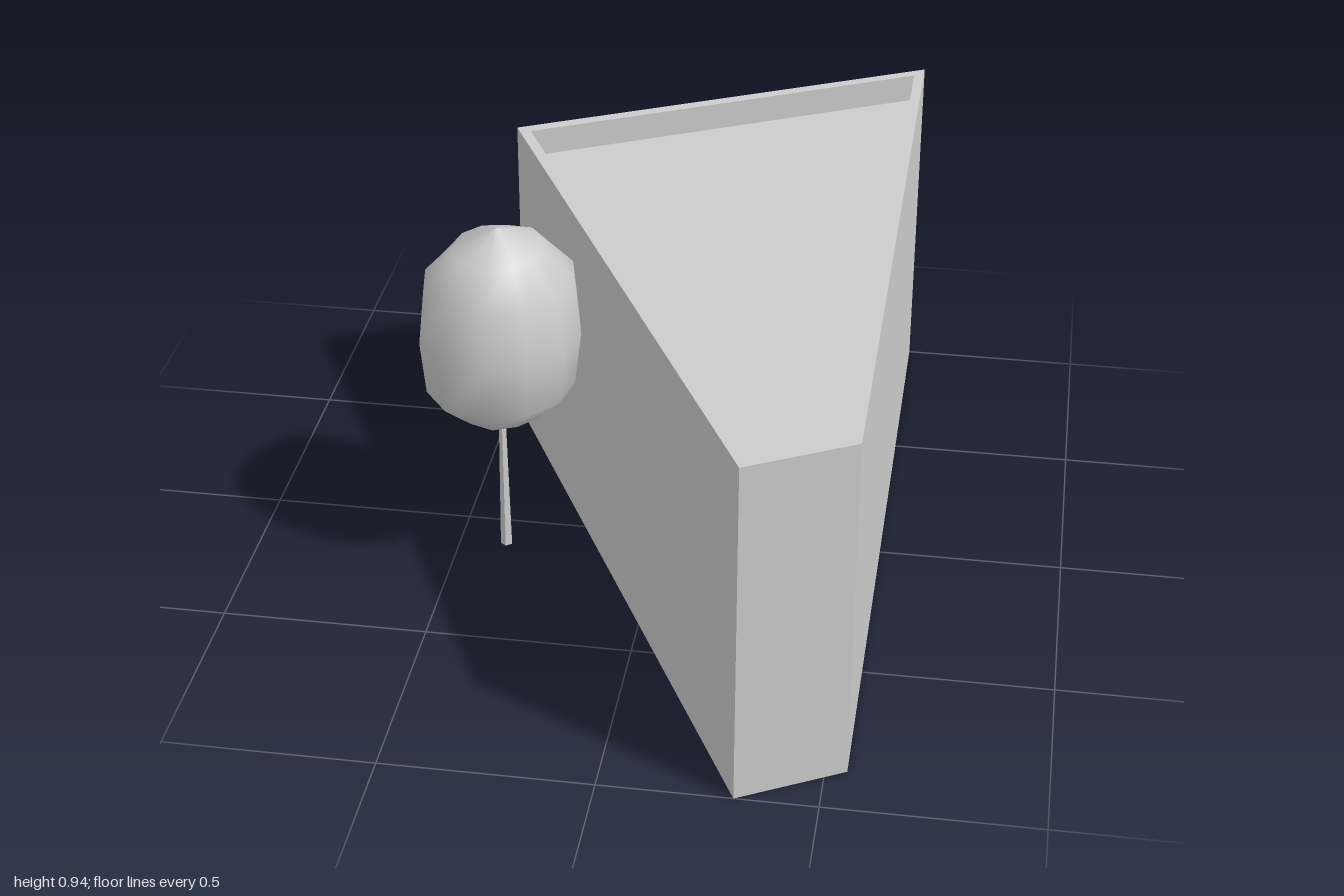
import * as THREE from 'three';

const grey = new THREE.MeshStandardMaterial({ color: 0xcccccc });
const greyDouble = new THREE.MeshStandardMaterial({ color: 0xcccccc, side: THREE.DoubleSide });

function mesh(name, geometry, material = grey) {
  const m = new THREE.Mesh(geometry, material);
  m.name = name;
  return m;
}

// Surface through a stack of rings, each an array of points of equal length
function skin(rings) {
  const n = rings[0].length;
  const index = [];
  for (let j = 0; j < rings.length - 1; j++) {
    for (let i = 0; i < n; i++) {
      const a = j * n + i, b = j * n + (i + 1) % n;
      index.push(a, a + n, b + n, a, b + n, b);
    }
  }
  const g = new THREE.BufferGeometry().setFromPoints(rings.flat());
  g.setIndex(index);
  return g;
}

function flat(g) {
  const f = g.toNonIndexed();
  f.computeVertexNormals();
  return f;
}

// Four-sided block, open underneath, with a parapet round a sunken roof
function createBuilding() {
  const outer = [[0.55, -1], [0.55, 0.87], [0.31, 1], [-0.45, -0.49]];
  const inner = [[0.525, -0.957], [0.525, 0.855], [0.323, 0.958], [-0.412, -0.475]];
  const top = 0.87, roofY = 0.8;
  const ring = (plan, y) => plan.map(([x, z]) => new THREE.Vector3(x, y, z));

  const group = new THREE.Group();
  group.name = 'building';
  const walls = skin([ring(outer, 0), ring(outer, top), ring(inner, top), ring(inner, roofY)]);
  group.add(mesh('wallsAndParapet', flat(walls), greyDouble));

  const roof = new THREE.BufferGeometry().setFromPoints(ring(inner, roofY));
  roof.setIndex([0, 2, 1, 0, 3, 2]);
  group.add(mesh('roof', flat(roof), greyDouble));
  return group;
}

// Slim trunk with a lumpy, smooth-shaded crown
function createTree() {
  const group = new THREE.Group();
  group.name = 'tree';
  group.position.set(-0.365, 0, 0.17);

  const trunk = mesh('trunk', flat(new THREE.CylinderGeometry(0.009, 0.015, 0.36, 5)));
  trunk.position.set(-0.002, 0.23, 0);
  group.add(trunk);

  // Radius in each direction round the crown, then [height, width] levels
  const radii = [0.195, 0.198, 0.2, 0.215, 0.213, 0.2, 0.19, 0.197, 0.205, 0.205, 0.218, 0.2];
  const levels = [[0.397, 0.02], [0.455, 0.56], [0.53, 0.93], [0.665, 1], [0.81, 0.91], [0.885, 0.55], [0.936, 0.001]];
  const rings = levels.map(([y, w], j) => radii.map((r, i) => {
    const a = -i * Math.PI / 6;
    const wobble = 1 + 0.025 * Math.sin(i * 2.3 + j * 1.9) * (j === 3 ? 0 : 1);
    return new THREE.Vector3(Math.cos(a) * r * w * wobble, y, -Math.sin(a) * r * w * wobble);
  }).reverse());
  const crown = skin(rings);
  crown.computeVertexNormals();
  group.add(mesh('crown', crown, greyDouble));
  return group;
}

export function createModel() {
  const model = new THREE.Group();
  model.name = 'buildingWithTree';
  model.add(createBuilding(), createTree());
  return model;
}
